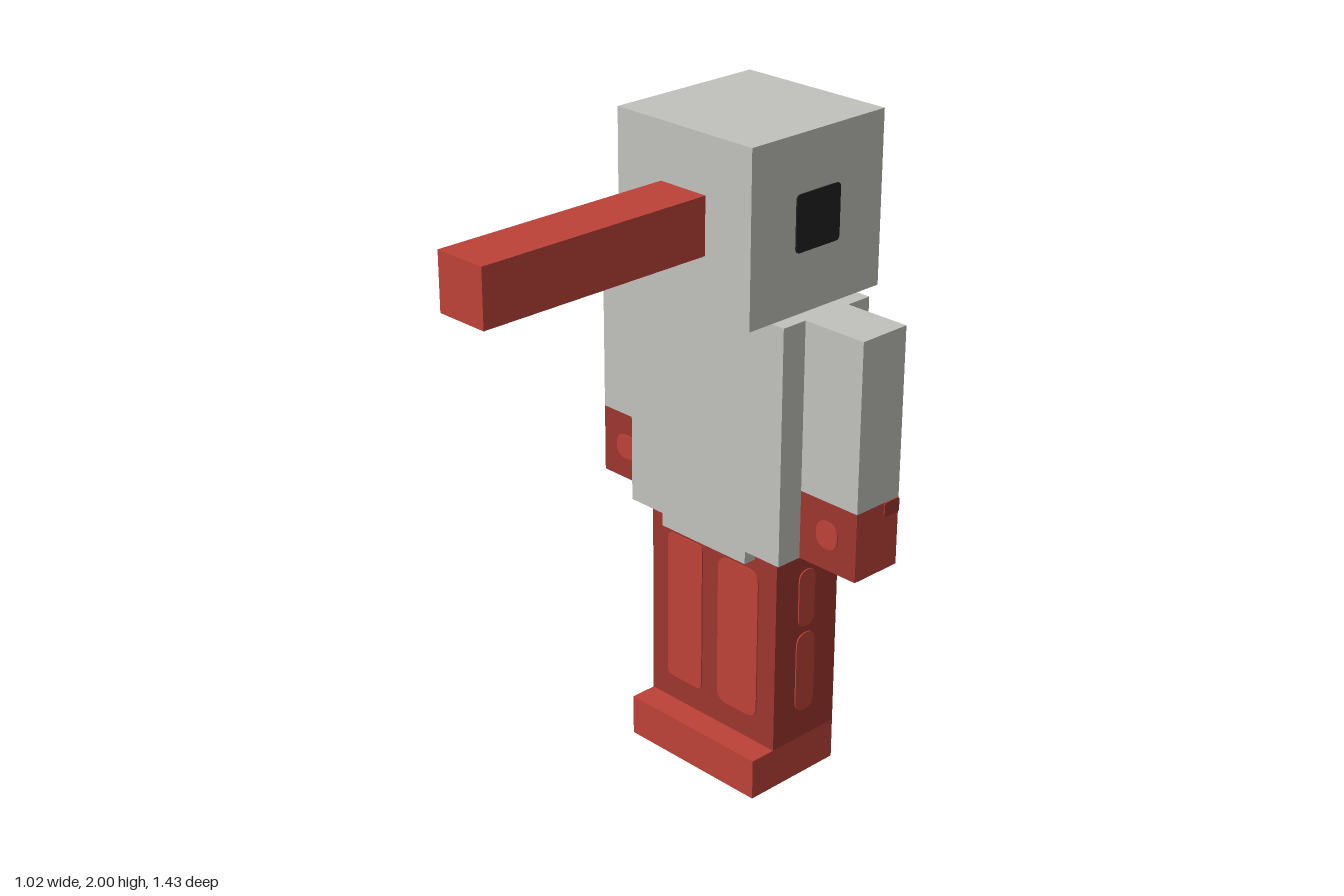
import * as THREE from 'three';

const mat = (name, color) => {
  const m = new THREE.MeshStandardMaterial({ color });
  m.name = name;
  return m;
};

export function createModel() {
  const grey = mat('feather grey', 0xc1c2bd);
  const red = mat('bright red', 0xbd4237);
  const darkRed = mat('dark red', 0x9d352e);
  const black = mat('eye black', 0x212121);
  const model = new THREE.Group();
  model.name = 'boxyBird';

  // Box given by its limits on each axis
  function box(name, material, [x0, x1], [y0, y1], [z0, z1]) {
    const mesh = new THREE.Mesh(new THREE.BoxGeometry(x1 - x0, y1 - y0, z1 - z0), material);
    mesh.position.set((x0 + x1) / 2, (y0 + y1) / 2, (z0 + z1) / 2);
    mesh.name = name;
    model.add(mesh);
    return mesh;
  }

  // Thin rounded plate lying on a surface, turned about y to face outward
  function plate(name, material, w, h, r, pos, turn) {
    const a = w / 2, b = h / 2;
    const s = new THREE.Shape();
    s.moveTo(-a + r, -b);
    s.lineTo(a - r, -b);
    s.quadraticCurveTo(a, -b, a, -b + r);
    s.lineTo(a, b - r);
    s.quadraticCurveTo(a, b, a - r, b);
    s.lineTo(-a + r, b);
    s.quadraticCurveTo(-a, b, -a, b - r);
    s.lineTo(-a, -b + r);
    s.quadraticCurveTo(-a, -b, -a + r, -b);
    const geo = new THREE.ExtrudeGeometry(s, { depth: 0.004, bevelEnabled: false, curveSegments: 6 });
    const mesh = new THREE.Mesh(geo, material);
    mesh.position.set(...pos);
    mesh.rotation.y = turn;
    mesh.name = name;
    model.add(mesh);
  }

  // Head and beak
  box('head', grey, [-0.255, 0.255], [1.49, 2], [-0.56, -0.05]);
  box('beak', red, [-0.085, 0.085], [1.66, 1.83], [-0.05, 0.717]);

  // Body with its lower hem
  box('body', grey, [-0.3, 0.3], [0.77, 1.49], [-0.475, -0.135]);
  box('bodyHem', grey, [-0.17, 0.168], [0.73, 0.77], [-0.475, -0.135]);

  // Tail slanting down behind the body
  const tail = box('tail', grey, [-0.21, 0.21], [0.75, 0.835], [-0.727, -0.433]);
  tail.rotation.x = -0.774;

  // Legs and foot block
  box('legs', darkRed, [-0.255, 0.255], [0.128, 0.77], [-0.432, -0.177]);
  box('foot', red, [-0.255, 0.255], [0, 0.128], [-0.432, -0.092]);

  for (const side of [-1, 1]) {
    const turn = side * Math.PI / 2;
    const span = (a, b) => (side > 0 ? [a, b] : [-b, -a]);
    // Arm and hand; the hand is darker on its front and back
    box('arm', grey, span(0.3, 0.51), [0.98, 1.49], [-0.39, -0.22]);
    box('hand', [red, red, red, red, darkRed, darkRed], span(0.3, 0.51), [0.77, 0.98], [-0.39, -0.22]);
    // Eye
    plate('eye', black, 0.17, 0.165, 0.015, [side * 0.255, 1.75, -0.305], turn);
    // Light marks on the outside of the leg
    plate('legSideMarkUpper', red, 0.066, 0.185, 0.033, [side * 0.255, 0.595, -0.302], turn);
    plate('legSideMarkLower', red, 0.076, 0.26, 0.038, [side * 0.255, 0.35, -0.302], turn);
  }
  plate('handSmudge', darkRed, 0.06, 0.044, 0.008, [0.51, 0.958, -0.36], Math.PI / 2);

  // Light marks on the front and back of legs and hands
  for (const [turn, legZ, handZ] of [[0, -0.177, -0.22], [Math.PI, -0.432, -0.39]]) {
    plate('legMarkRight', red, 0.143, 0.485, 0.02, [-0.115, 0.45, legZ], turn);
    plate('legMarkLeft', red, 0.162, 0.485, 0.04, [0.104, 0.45, legZ], turn);
    plate('handMarkRight', red, 0.088, 0.076, 0.036, [-0.41, 0.875, handZ], turn);
    plate('handMarkLeft', red, 0.08, 0.084, 0.04, [0.403, 0.88, handZ], turn);
  }
  return model;
}
